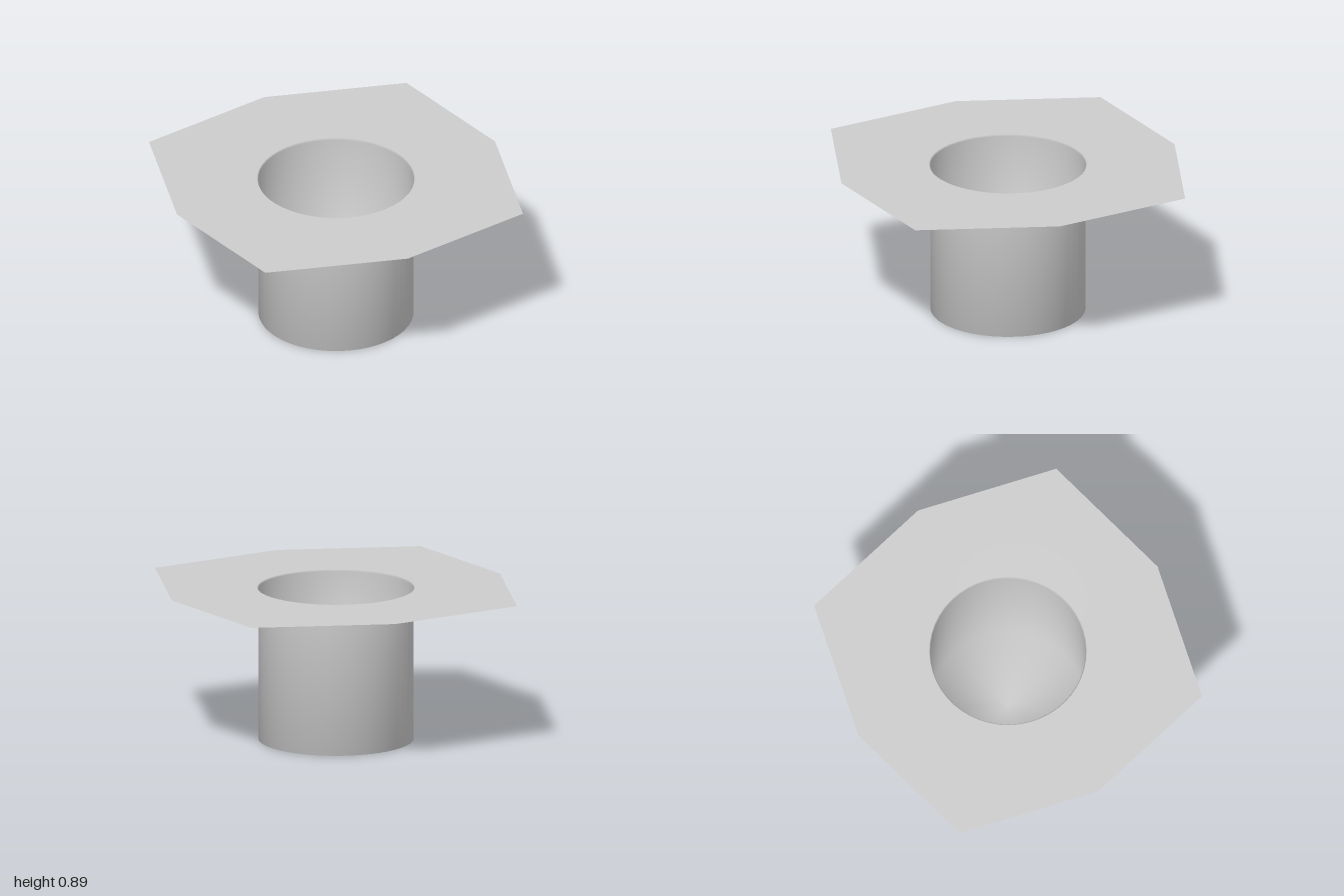
import * as THREE from 'three';

const SEGMENTS = 48; // multiple of 8, so the brim corners fall on vertices

// A circle, or the eight-cornered brim outline when no radius is given
function ring(radius, y) {
  const corner = (k) => {
    const r = k % 2 ? 0.81 * Math.SQRT2 : 1;
    return new THREE.Vector3(r * Math.cos(k * Math.PI / 4), y, r * Math.sin(k * Math.PI / 4));
  };
  return Array.from({ length: SEGMENTS }, (_, i) => {
    const a = (i / SEGMENTS) * Math.PI * 2;
    if (radius !== null) return new THREE.Vector3(radius * Math.cos(a), y, radius * Math.sin(a));
    const t = (i / SEGMENTS) * 8, k = Math.floor(t);
    return corner(k).lerp(corner(k + 1), t - k);
  });
}

export function createModel() {
  const group = new THREE.Group();
  const grey = new THREE.MeshStandardMaterial({ color: 0xcccccc, side: THREE.DoubleSide });
  grey.name = 'light grey';

  // One thin continuous sheet: floor, wall, small flared lip, flat brim
  const rings = [ring(0.445, 0), ring(0.445, 0.88), ring(0.453, 0.89), ring(null, 0.89)];
  const points = [new THREE.Vector3(0, 0, 0), ...rings.flat()];
  const index = [];
  for (let i = 0; i < SEGMENTS; i++) {
    const n = (i + 1) % SEGMENTS;
    index.push(0, 1 + n, 1 + i); // floor
    for (let j = 0; j < rings.length - 1; j++) {
      const a = 1 + j * SEGMENTS, b = a + SEGMENTS;
      index.push(a + i, a + n, b + i, a + n, b + n, b + i);
    }
  }
  const geometry = new THREE.BufferGeometry().setFromPoints(points);
  geometry.setIndex(index);
  geometry.computeVertexNormals();

  const mesh = new THREE.Mesh(geometry, grey);
  mesh.name = 'brimmedCup';
  group.add(mesh);
  return group;
}
